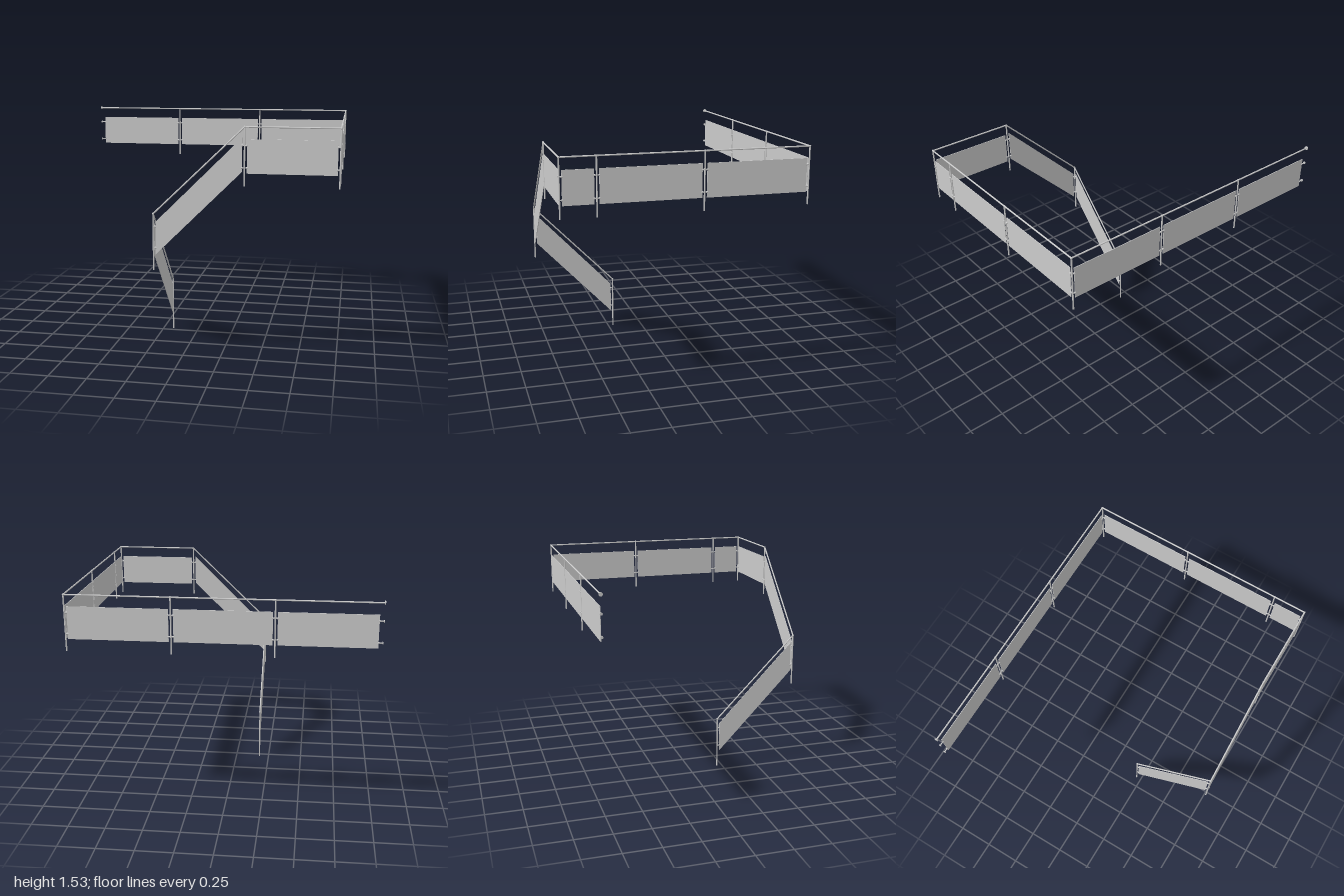
import * as THREE from 'three';

const material = new THREE.MeshStandardMaterial({ color: 0xcccccc });
const V = (x, y, z) => new THREE.Vector3(x, y, z);
const UP = V(0, 1, 0);

// Round bar between two points
function bar(name, a, b, r, sides = 12) {
  const dir = b.clone().sub(a);
  const mesh = new THREE.Mesh(new THREE.CylinderGeometry(r, r, dir.length(), sides), material);
  mesh.position.copy(a).add(b).multiplyScalar(0.5);
  mesh.quaternion.setFromUnitVectors(UP, dir.normalize());
  mesh.name = name;
  return mesh;
}

// Upright panel whose top edge runs from a to b; its ends stay vertical
function panel(a, b, height, thickness) {
  const geo = new THREE.BoxGeometry(1, height, thickness);
  const flat = V(b.x - a.x, 0, b.z - a.z);
  const run = flat.length();
  const p = geo.attributes.position;
  for (let i = 0; i < p.count; i++) {
    const t = p.getX(i) + 0.5;
    p.setXYZ(i, t * run, p.getY(i) - height / 2 + t * (b.y - a.y), p.getZ(i));
  }
  geo.computeVertexNormals();
  const mesh = new THREE.Mesh(geo, material);
  mesh.position.copy(a);
  mesh.rotation.y = Math.atan2(-flat.z, flat.x);
  mesh.name = 'infillPanel';
  return mesh;
}

export function createModel() {
  const group = new THREE.Group();
  group.name = 'balustrade';
  const R = 0.005, POST = 0.37, PANEL = 0.214;

  // Rail nodes: position of the post top, drop to the panel top, drop to the upper clamp
  const nodes = [
    { p: V(-0.18, 0.37, 0.213), drop: 0.037, clamp: 0.07 },
    { p: V(-0.18, 0.957, 0.79), drop: 0.052, clamp: 0.082 },
    { p: V(0.405, 1.52, 0.79), drop: 0.065, clamp: 0.115 },
    { p: V(0.992, 1.52, 0.79) },
    { p: V(0.992, 1.52, 0.567) },
    { p: V(0.992, 1.52, -0.1) },
    { p: V(0.992, 1.52, -0.787) },
    { p: V(0.315, 1.52, -0.787) },
    { p: V(-0.337, 1.52, -0.787) },
    { p: V(-1, 1.52, -0.787), wall: true, gap: 0.03 },
  ];

  // Posts with rounded rail joints
  for (const { p, wall } of nodes) {
    if (wall) continue;
    group.add(bar('post', p.clone().setY(p.y - POST), p, R));
    const joint = new THREE.Mesh(new THREE.SphereGeometry(0.007, 12, 8), material);
    joint.position.copy(p);
    joint.name = 'railJoint';
    group.add(joint);
  }

  for (let i = 0; i < nodes.length - 1; i++) {
    const a = nodes[i], b = nodes[i + 1];
    const along = V(b.p.x - a.p.x, 0, b.p.z - a.p.z).normalize();
    const level = a.p.y === b.p.y;
    group.add(bar('handrail', a.p, b.p, R));

    // Infill panel, held clear of the posts at both ends
    const ends = [[a, 1], [b, -1]].map(([n, s]) => {
      const gap = n.gap ?? 0.015;
      const end = n.p.clone().addScaledVector(along, s * gap);
      end.y -= level ? 0.075 : n.drop;

      // Two clamps joining this panel end to its post or wall
      const clampDrop = level ? 0.115 : n.clamp;
      for (const d of [clampDrop, clampDrop + 0.139]) {
        const root = n.p.clone().setY(n.p.y - d);
        const at = (t) => root.clone().addScaledVector(along, s * t);
        group.add(bar('clampArm', root, at(gap + 0.002), 0.004, 8));
        group.add(bar('clampHead', at(gap - 0.004), at(gap + 0.005), 0.006));
        if (n.wall) group.add(bar('clampWallPlate', root, at(0.005), 0.009, 16));
      }
      return end;
    });
    group.add(panel(ends[0], ends[1], PANEL, 0.004));
  }

  // Wall plate at the open end of the handrail
  const last = nodes[nodes.length - 1].p;
  group.add(bar('railWallPlate', last, last.clone().setX(last.x + 0.006), 0.013, 20));
  return group;
}
